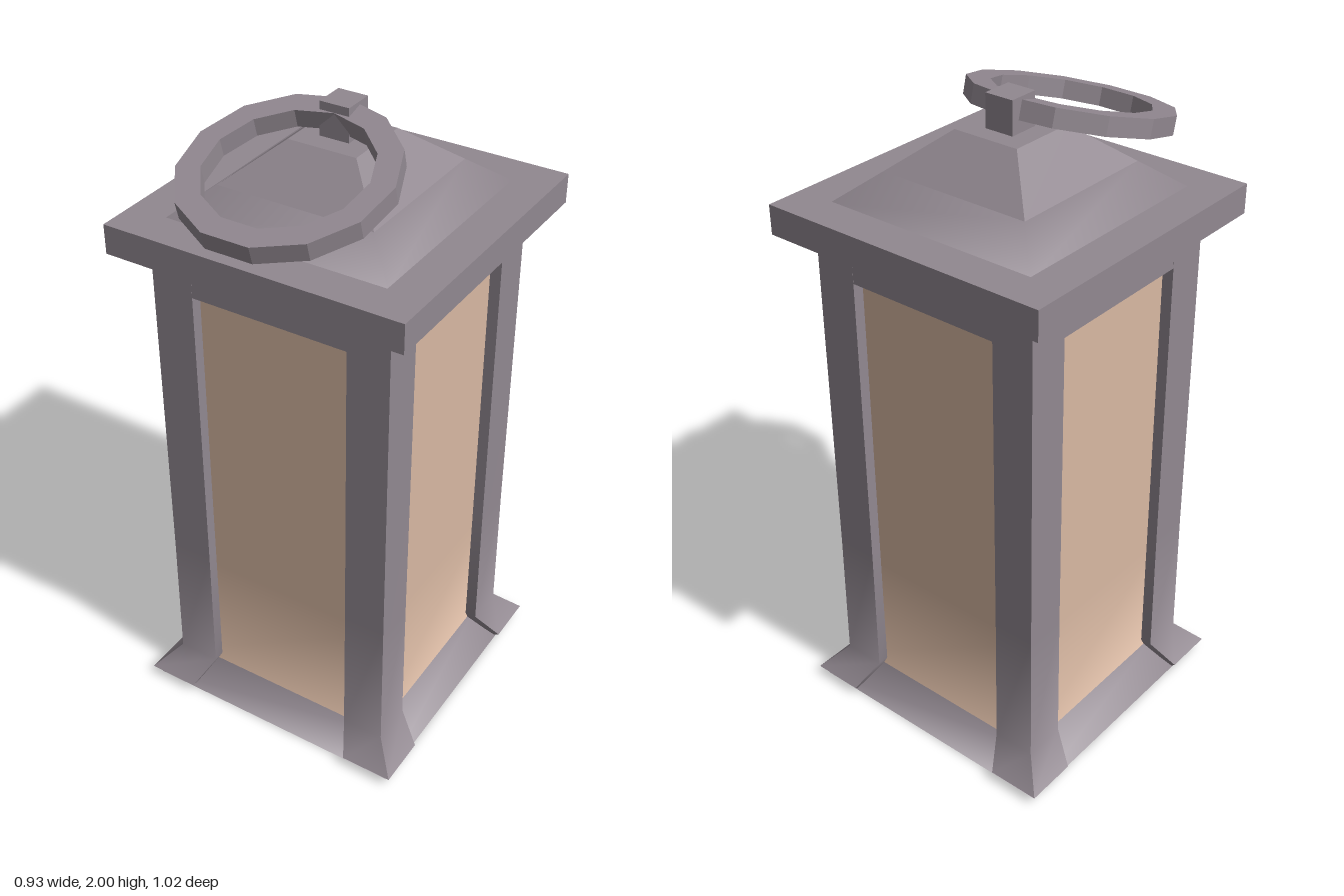
import * as THREE from 'three';
import { toCreasedNormals } from 'three/addons/utils/BufferGeometryUtils.js';

const metal = new THREE.MeshStandardMaterial({ color: 0x918890 });
metal.name = 'greyMetal';
const pane = new THREE.MeshStandardMaterial({ color: 0xd8b8a2 });
pane.name = 'warmPane';

// Stacks rectangles [y, x0, x1, z0, z1] from bottom to top; paneLayers get the second material
function loft(rings, crease, paneLayers = []) {
  const pos = [], index = [];
  const geo = new THREE.BufferGeometry();
  for (const [y, x0, x1, z0, z1] of rings) {
    pos.push(x0, y, z1, x1, y, z1, x1, y, z0, x0, y, z0);
  }
  for (let r = 0; r < rings.length - 1; r++) {
    geo.addGroup(index.length, 24, paneLayers.includes(r) ? 1 : 0);
    for (let i = 0; i < 4; i++) {
      const a = r * 4 + i, b = r * 4 + (i + 1) % 4;
      index.push(a, b, b + 4, a, b + 4, a + 4);
    }
  }
  const t = (rings.length - 1) * 4;
  geo.addGroup(index.length, 12, 0);
  index.push(0, 2, 1, 0, 3, 2, t, t + 1, t + 2, t, t + 2, t + 3);
  geo.setAttribute('position', new THREE.Float32BufferAttribute(pos, 3));
  geo.setIndex(index);
  return toCreasedNormals(geo, crease);
}

const square = (y, h) => [y, -h, h, -h, h];

export function createModel() {
  const model = new THREE.Group();
  model.name = 'lantern';
  const body = new THREE.Group();
  body.name = 'body';
  body.position.z = -0.04;
  model.add(body);

  const add = (parent, name, geo, mat = metal) => {
    const mesh = new THREE.Mesh(geo, mat);
    mesh.name = name;
    parent.add(mesh);
    return mesh;
  };
  const box = (parent, name, w, h, d, y, z = 0) =>
    add(parent, name, new THREE.BoxGeometry(w, h, d), metal).position.set(0, y, z);

  // Sloping sill below the recessed panes
  add(body, 'sillAndPanes', loft(
    [square(0, 0.435), square(0.08, 0.345), square(0.5, 0.345), square(1.52, 0.345)],
    1.0, [1, 2]), [metal, pane]);

  // Corner posts with flared feet
  for (const sx of [-1, 1]) {
    for (const sz of [-1, 1]) {
      const ring = (y, inner, outer) => {
        const range = (s) => (s > 0 ? [inner, outer] : [-outer, -inner]);
        return [y, ...range(sx), ...range(sz)];
      };
      add(body, 'cornerPost', loft([
        ring(0.005, 0.305, 0.435), ring(0.03, 0.29, 0.455), ring(0.11, 0.248, 0.382),
        ring(0.55, 0.248, 0.38), ring(1.62, 0.248, 0.38),
      ], 0.9));
    }
  }

  // Header above the panes and overhanging lid
  box(body, 'header', 0.759, 0.12, 0.759, 1.56);
  box(body, 'lid', 0.93, 0.09, 0.93, 1.66);

  // Pyramid roof: softened lower band, crisp upper band
  add(body, 'roofSkirt', loft([square(1.7, 0.352), square(1.787, 0.245)], 1.0));
  add(body, 'roofTop', loft([square(1.787, 0.245), square(1.9, 0.107)], 0.5));

  // Hanger block
  box(model, 'hangerBlock', 0.092, 0.11, 0.095, 1.945, -0.043);

  // Tilted thirteen-sided carrying ring
  const polygon = (r) => Array.from({ length: 13 }, (_, i) => {
    const a = -Math.PI / 2 + (i * 2 * Math.PI) / 13;
    return new THREE.Vector2(r * Math.cos(a), r * Math.sin(a));
  });
  const shape = new THREE.Shape(polygon(0.301));
  shape.holes.push(new THREE.Path(polygon(0.232)));
  const ringGeo = new THREE.ExtrudeGeometry(shape, { depth: 0.055, bevelEnabled: false });
  ringGeo.translate(0, 0, -0.0275);
  const ring = add(model, 'carryingRing', ringGeo);
  ring.position.set(0, 1.888, 0.222);
  ring.rotation.x = Math.PI / 2 + 0.266;

  return model;
}
